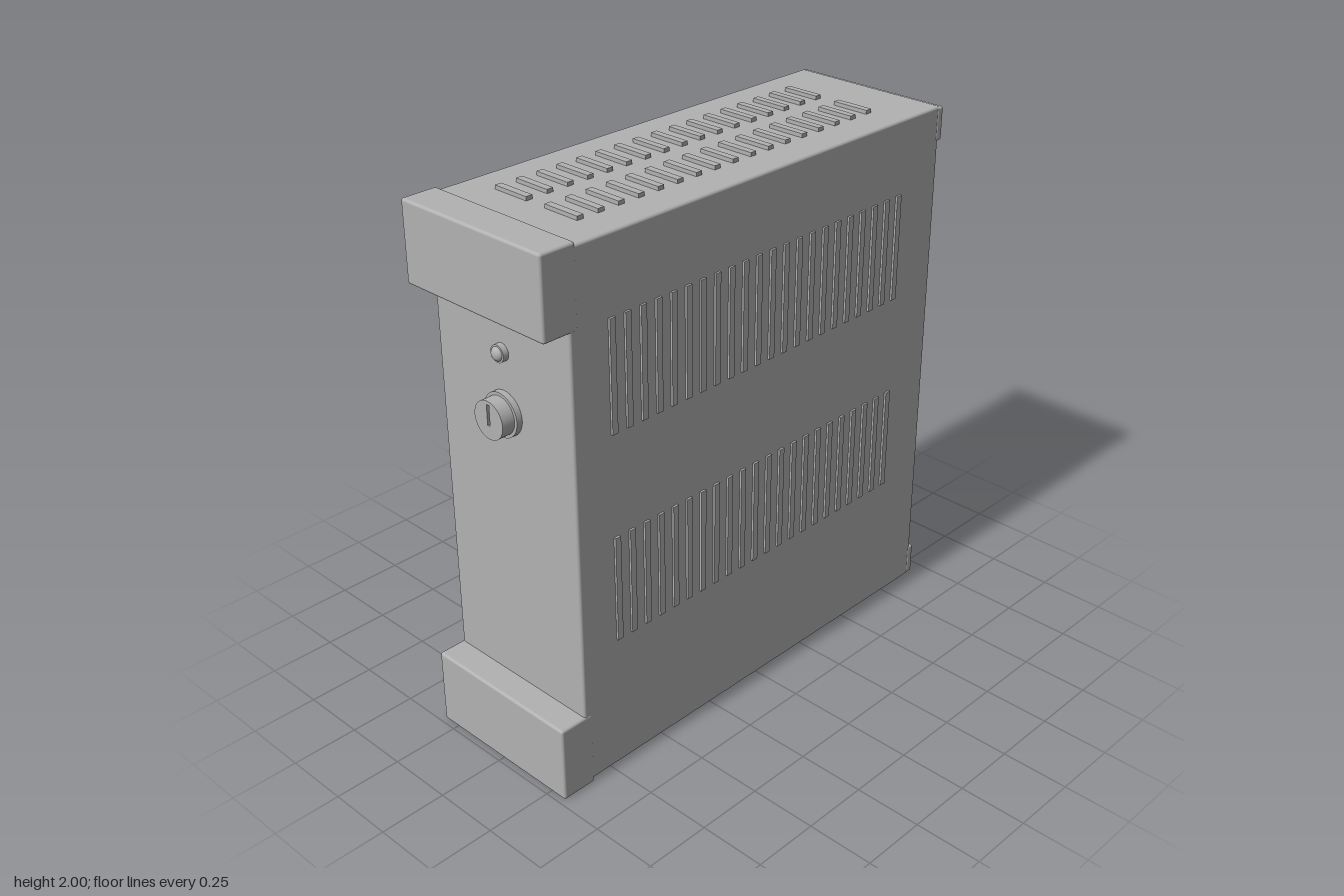
import * as THREE from 'three';
import { RoundedBoxGeometry } from 'three/addons/geometries/RoundedBoxGeometry.js';

const grey = new THREE.MeshStandardMaterial({ color: 0xb2b2b2 });
grey.name = 'casing grey';

export function createModel() {
  const model = new THREE.Group();
  model.name = 'equipmentCase';

  const add = (name, geometry, parent = model) => {
    const mesh = new THREE.Mesh(geometry, grey);
    mesh.name = name;
    parent.add(mesh);
    return mesh;
  };

  // Box given by its lowest and highest corner, with softened edges
  const block = (name, [x0, y0, z0], [x1, y1, z1], radius = 0.008, parent = model) => {
    const size = [x1 - x0, y1 - y0, z1 - z0];
    const geometry = radius
      ? new RoundedBoxGeometry(...size, 2, radius)
      : new THREE.BoxGeometry(...size);
    add(name, geometry, parent).position.set((x0 + x1) / 2, (y0 + y1) / 2, (z0 + z1) / 2);
  };

  const group = (name) => {
    const g = new THREE.Group();
    g.name = name;
    model.add(g);
    return g;
  };

  // Main casing with a thin inset lid and base
  block('casing', [-0.318, 0.014, -0.905], [0.318, 1.986, 0.876], 0.01);

  // Projecting front bezels and rear caps, top and bottom
  block('topBezel', [-0.32, 1.71, 0.842], [0.32, 1.997, 0.98], 0.01);
  block('bottomBezel', [-0.32, 0, 0.842], [0.32, 0.29, 0.98], 0.01);
  block('topRearCap', [-0.32, 1.857, -0.922], [0.32, 1.982, -0.89], 0.008);
  block('bottomRearCap', [-0.32, 0.02, -0.922], [0.32, 0.143, -0.89], 0.008);

  // Two rows of raised vent ribs on each side
  const sideVents = group('sideVents');
  for (const x of [-0.32, 0.32]) {
    for (const [y0, y1] of [[0.53, 0.93], [1.31, 1.71]]) {
      for (let i = 0; i < 22; i++) {
        const z = 0.708 - i * 0.0664;
        block('sideVent', [x - 0.006, y0, z - 0.012], [x + 0.006, y1, z + 0.012], 0, sideVents);
      }
    }
  }

  // Two columns of vent ribs on the lid
  const topVents = group('topVents');
  for (const x of [-0.115, 0.115]) {
    for (let i = 0; i < 17; i++) {
      const z = -0.663 + i * 0.0852;
      block('topVent', [x - 0.073, 1.98, z - 0.013], [x + 0.073, 2, z + 0.013], 0, topVents);
    }
  }

  // Rear hooks: a plate with a lip at its foot
  for (const y of [0.27, 1.44]) {
    const hook = group('rearHook');
    block('hookPlate', [-0.095, y, -0.954], [0.095, y + 0.272, -0.9], 0.008, hook);
    block('hookLip', [-0.063, y, -0.98], [0.063, y + 0.078, -0.94], 0.005, hook);
  }

  // Round disc facing the front
  const disc = (name, radius, z0, z1, y, parent) => {
    const mesh = add(name, new THREE.CylinderGeometry(radius, radius, z1 - z0, 40), parent);
    mesh.rotation.x = Math.PI / 2;
    mesh.position.set(0, y, (z0 + z1) / 2);
  };

  // Key switch: flange, barrel and slotted face
  const keySwitch = group('keySwitch');
  disc('switchFlange', 0.079, 0.87, 0.898, 1.33, keySwitch);
  disc('switchBarrel', 0.068, 0.89, 0.93, 1.33, keySwitch);
  const face = new THREE.Shape().absarc(0, 0, 0.068, 0, Math.PI * 2);
  face.holes.push(new THREE.Path([
    [-0.006, -0.02], [-0.006, 0.055], [0.006, 0.055], [0.006, -0.02],
  ].map(([x, y]) => new THREE.Vector2(x, y))));
  add('switchFace', new THREE.ExtrudeGeometry(face, {
    depth: 0.017, bevelEnabled: false, curveSegments: 32,
  }), keySwitch).position.set(0, 1.33, 0.93);

  // Indicator lamp: flange and domed lens
  const lamp = group('indicatorLamp');
  disc('lampFlange', 0.031, 0.87, 0.897, 1.545, lamp);
  const dome = add('lampLens', new THREE.SphereGeometry(0.025, 24, 12), lamp);
  dome.scale.z = 0.7;
  dome.position.set(0, 1.545, 0.895);

  return model;
}
